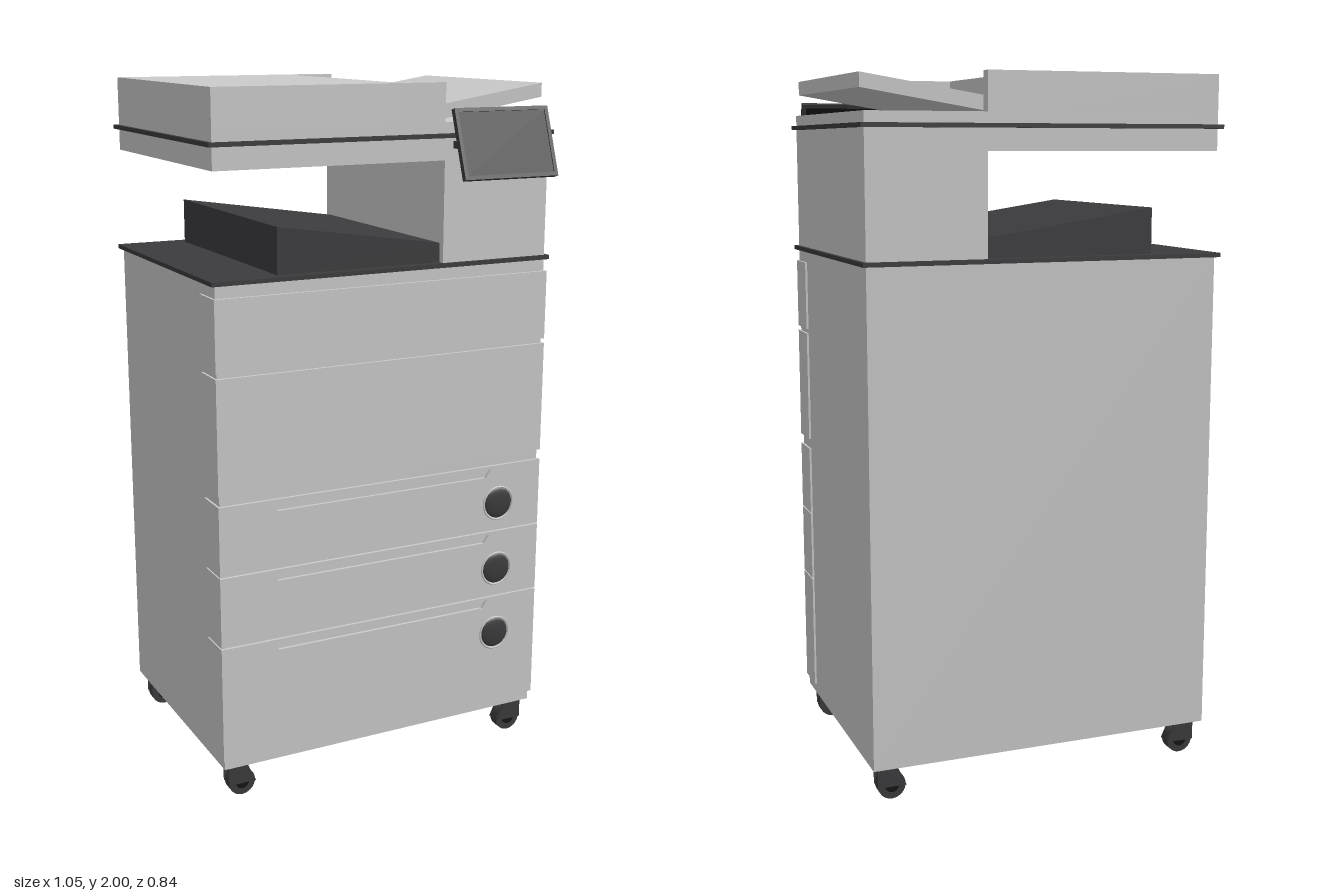
import * as THREE from 'three';

const grey = new THREE.MeshStandardMaterial({ color: 0xcccccc });
const dark = new THREE.MeshStandardMaterial({ color: 0x3c3c3e });
const black = new THREE.MeshStandardMaterial({ color: 0x141414 });

export function createModel() {
  const root = new THREE.Group();

  const add = (name, geo, mat, parent = root) => {
    const m = new THREE.Mesh(geo, mat);
    m.name = name;
    parent.add(m);
    return m;
  };
  // Box given by its extents on each axis
  const box = (name, [x0, x1], [y0, y1], [z0, z1], mat = grey, parent = root) => {
    const m = add(name, new THREE.BoxGeometry(x1 - x0, y1 - y0, z1 - z0), mat, parent);
    m.position.set((x0 + x1) / 2, (y0 + y1) / 2, (z0 + z1) / 2);
    return m;
  };
  const polygon = (pts, Type = THREE.Shape) => new Type(pts.map(p => new THREE.Vector2(...p)));
  // Side profile in x, y swept from z0 to z1
  const prism = (name, shape, z0, z1, mat, parent = root) => {
    const geo = new THREE.ExtrudeGeometry(shape, { depth: z1 - z0, bevelEnabled: false });
    geo.translate(0, 0, z0);
    return add(name, geo, mat, parent);
  };

  const W = [-0.513, 0.513], D = [-0.405, 0.33];

  // Cabinet and the dark trim plates
  box('cabinet', W, [0.1, 1.495], D);
  for (const [name, y] of [['cabinetTopPlate', 1.5], ['scannerPlate', 1.857]]) {
    box(name, [-0.525, 0.525], [y - 0.006, y + 0.006], [-0.42, 0.34], dark);
  }

  // Plain front covers, wrapping slightly around the sides
  const P = [-0.519, 0.519];
  box('upperCover', P, [1.26, 1.46], [0.235, 0.339]);
  box('frontCover', P, [0.92, 1.246], [0.235, 0.339]);

  // Drawers with a recessed grip and a round dial
  const drawers = [[0.688, 0.89, 0.88, 0.772], [0.478, 0.684, 0.675, 0.564], [0.13, 0.474, 0.466, 0.355]];
  for (const [y0, y1, grip, dialY] of drawers) {
    const drawer = new THREE.Group();
    drawer.name = 'drawer';
    root.add(drawer);
    box('drawerBody', P, [y0, y1], [0.235, 0.32], grey, drawer);
    const face = polygon([[P[0], y0], [P[1], y0], [P[1], y1], [P[0], y1]]);
    const outline = [[-0.362, grip], [0.348, grip], [0.33, grip - 0.024], [-0.344, grip - 0.024]];
    face.holes.push(polygon(outline, THREE.Path));
    prism('drawerFace', face, 0.32, 0.339, grey, drawer);

    const ring = add('dialRing', new THREE.TorusGeometry(0.05, 0.003, 6, 40), grey, drawer);
    ring.position.set(0.376, dialY, 0.339);
    const dial = add('dial', new THREE.SphereGeometry(0.046, 36, 10, 0, Math.PI * 2, 0, Math.PI / 2), dark, drawer);
    dial.rotation.x = Math.PI / 2;
    dial.scale.y = 0.18;
    dial.position.set(0.376, dialY, 0.338);
  }

  // Support column, scanner bed and sloping output tray
  box('supportColumn', [0.174, 0.513], [1.5, 1.852], D);
  box('scannerBed', [-0.513, 0.174], [1.79, 1.852], D);
  prism('outputTray', polygon([[-0.325, 1.5], [0.175, 1.5], [0.175, 1.56], [-0.325, 1.635]]), -0.38, 0.31, dark);

  // Document feeder: base, block, side rails and inclined paper tray
  box('feederBase', W, [1.862, 1.893], D);
  box('feederBlock', [-0.513, 0.037], [1.893, 2], D);
  box('feederRailFront', [0.037, 0.174], [1.893, 2], [0.29, D[1]]);
  box('feederRailBack', [0.037, 0.174], [1.893, 2], [D[0], -0.37]);
  prism('paperTray', polygon([[0.037, 1.88], [0.15, 1.893], [0.513, 1.952], [0.513, 1.991], [0.174, 1.937], [0.037, 1.913]]),
    -0.368, 0.288, grey);

  // Tilted control screen on a short arm
  box('screenArm', [0.2, 0.48], [1.822, 1.842], [0.32, 0.374], dark);
  const panel = new THREE.Group();
  panel.name = 'controlScreen';
  panel.position.set(0.339, 1.835, 0.378);
  panel.rotation.x = -0.345;
  root.add(panel);
  const w = 0.151, h = 0.1;
  const frame = polygon([[-w, -h], [w, -h], [w, h], [-w, h]]);
  const iw = w - 0.011, ih = h - 0.011;
  frame.holes.push(polygon([[-iw, -ih], [-iw, ih], [iw, ih], [iw, -ih]], THREE.Path));
  prism('screenFrame', frame, -0.008, 0.008, dark, panel);
  box('screenGlass', [-iw, iw], [-ih, ih], [-0.008, 0.005], black, panel);

  // Casters: swivel stem, fork cheeks and wheel
  for (const sx of [-1, 1]) for (const z of [0.294, -0.36]) {
    const caster = new THREE.Group();
    caster.name = 'caster';
    caster.position.set(sx * 0.453, 0, z);
    root.add(caster);
    const wheel = add('wheel', new THREE.CylinderGeometry(0.04, 0.04, 0.034, 28), dark, caster);
    wheel.rotation.x = Math.PI / 2;
    wheel.position.y = 0.043;
    const hub = add('hub', new THREE.CylinderGeometry(0.02, 0.02, 0.04, 20), black, caster);
    hub.rotation.x = Math.PI / 2;
    hub.position.y = 0.043;
    const x = sx * 0.012;
    const cheek = [[-0.042, 0.04], [0.042, 0.04], [0.03 + x, 0.092], [-0.03 + x, 0.092]];
    prism('forkFront', polygon(cheek), 0.0175, 0.021, dark, caster);
    prism('forkBack', polygon(cheek), -0.021, -0.0175, dark, caster);
    box('forkTop', [-0.03 + x, 0.03 + x], [0.084, 0.094], [-0.021, 0.021], dark, caster);
    const stem = add('stem', new THREE.CylinderGeometry(0.018, 0.018, 0.012, 16), dark, caster);
    stem.position.set(x, 0.096, 0);
  }
  // Wheels rest on the ground
  root.traverse(o => { if (o.name === 'caster') o.position.y = -0.003; });
  return root;
}
